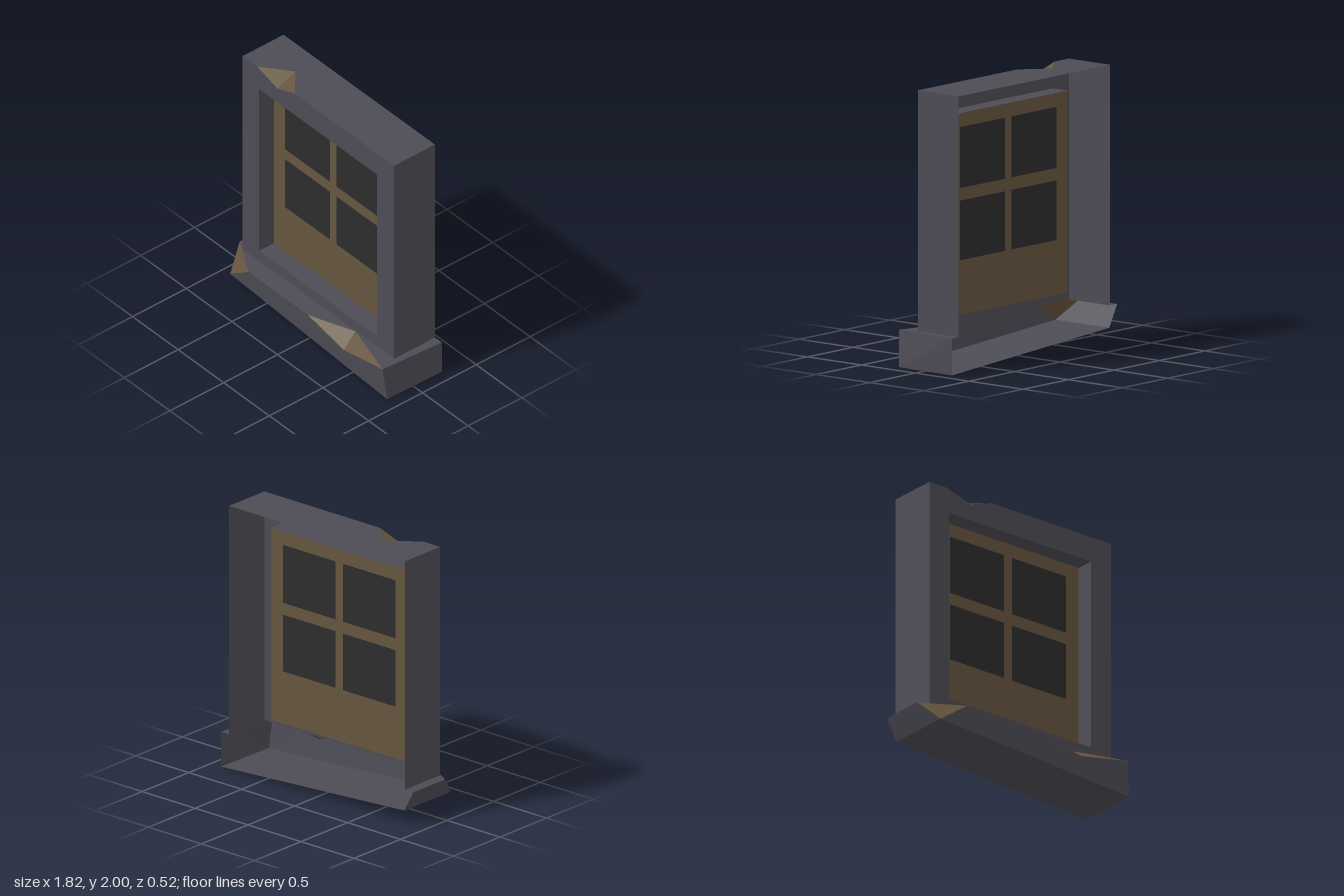
import * as THREE from 'three';

const paint = (color) => new THREE.MeshStandardMaterial({ color, side: THREE.DoubleSide });
const stone = paint(0x4d4c55), wood = paint(0x65553f), glass = paint(0x2d2d2d);

function meshFrom(name, material, points, index) {
  const indexed = new THREE.BufferGeometry();
  indexed.setAttribute('position', new THREE.Float32BufferAttribute(points.flat(), 3));
  indexed.setIndex(index);
  const geometry = indexed.toNonIndexed();
  geometry.computeVertexNormals();
  const mesh = new THREE.Mesh(geometry, material);
  mesh.name = name;
  return mesh;
}

// Convex face, corners counter-clockwise as seen from its front
function fan(name, material, ...points) {
  const index = [];
  for (let i = 1; i < points.length - 1; i++) index.push(0, i, i + 1);
  return meshFrom(name, material, points, index);
}

// Any outline with holes, triangulated on axes u and v; it faces u cross v
function sheet(name, material, u, v, outline, holes = []) {
  const flat = (ring) => ring.map((p) => new THREE.Vector2(p[u], p[v]));
  const triangles = THREE.ShapeUtils.triangulateShape(flat(outline), holes.map(flat));
  return meshFrom(name, material, [...outline, ...holes.flat()], triangles.flat());
}

const rect = (x0, x1, y0, y1, z) => [[x0, y0, z], [x1, y0, z], [x1, y1, z], [x0, y1, z]];

// Two broken faces meeting in a valley below an edge
function chip(name, l, p, r, t) {
  const group = new THREE.Group();
  group.name = name;
  group.add(fan(name + 'Left', wood, l, p, t), fan(name + 'Right', wood, p, r, t));
  return group;
}

export function createModel() {
  const model = new THREE.Group();
  model.name = 'window';
  const W = 0.83, H = 2, S = 0.265, F = 0.12, B = -0.26, P = -0.02;

  // Surround: an open-backed shell with a chipped top edge
  const surround = new THREE.Group();
  surround.name = 'surround';
  const notch = [[-0.67, H, F], [-0.45, 1.935, F], [-0.26, H, F], [-0.45, H, -0.05]];
  const [nl, np, nr, nt] = notch;
  const [x0, x1, y0, y1] = [-0.65, 0.645, 0.355, 1.81];
  const opening = rect(x0, x1, y0, y1, F);
  surround.add(
    sheet('surroundFront', stone, 0, 1,
      [[-W, S, F], [W, S, F], [W, H, F], nr, np, nl, [-W, H, F]], [opening]),
    sheet('surroundTop', stone, 2, 0,
      [[-W, H, B], [-W, H, F], nl, nt, nr, [W, H, F], [W, H, B]]),
    fan('surroundLeft', stone, [W, S, F], [W, S, B], [W, H, B], [W, H, F]),
    fan('surroundRight', stone, [-W, S, B], [-W, S, F], [-W, H, F], [-W, H, B]),
    chip('topChip', ...notch)
  );

  // Reveal: the inward-facing sides of the opening
  const inner = rect(x0, x1, y0, y1, P);
  for (let i = 0; i < 4; i++) {
    const j = (i + 1) % 4;
    surround.add(fan('reveal', stone, opening[i], opening[j], inner[j], inner[i]));
  }
  model.add(surround);

  // Wooden panel with four flush panes
  const panes = [];
  for (const [a, b] of [[-0.53, -0.035], [0.035, 0.53]])
    for (const [c, d] of [[0.75, 1.18], [1.27, 1.71]]) panes.push(rect(a, b, c, d, P));
  model.add(sheet('panel', wood, 0, 1, inner, panes));
  panes.forEach((pane) => model.add(fan('pane', glass, ...pane)));

  // Sill: hollow, open at the back, with a sloping underside
  const sill = new THREE.Group();
  sill.name = 'sill';
  const cornerBack = [-0.91, S, 0.08], cornerFront = [-0.6, S, 0.26], cornerLow = [-0.825, 0.105, 0.24];
  const gap = [[0.05, S, 0.26], [0.44, 0.18, 0.255], [0.87, S, 0.26], [0.41, S, 0.125]];
  const [gl, gp, gr, gt] = gap;
  const backRight = [-0.91, S, B], backLeft = [0.905, S, B];
  const lowRight = [-0.825, 0.105, B], lowLeft = [0.905, 0, B], lowFront = [0.895, 0, 0.24];
  sill.add(
    sheet('sillTop', stone, 2, 0, [backRight, cornerBack, cornerFront, gl, gt, gr, backLeft,
      [W, S, B], [W, S, F], [-W, S, F], [-W, S, B]]),
    sheet('sillFront', stone, 0, 1, [cornerLow, lowFront, gr, gp, gl, cornerFront]),
    fan('sillRight', stone, lowRight, cornerLow, cornerBack, backRight),
    fan('sillLeft', stone, lowFront, lowLeft, backLeft, gr),
    fan('sillBottom', stone, lowRight, lowLeft, lowFront, cornerLow),
    fan('cornerChip', wood, cornerBack, cornerLow, cornerFront),
    chip('sillChip', ...gap)
  );
  model.add(sill);
  return model;
}
